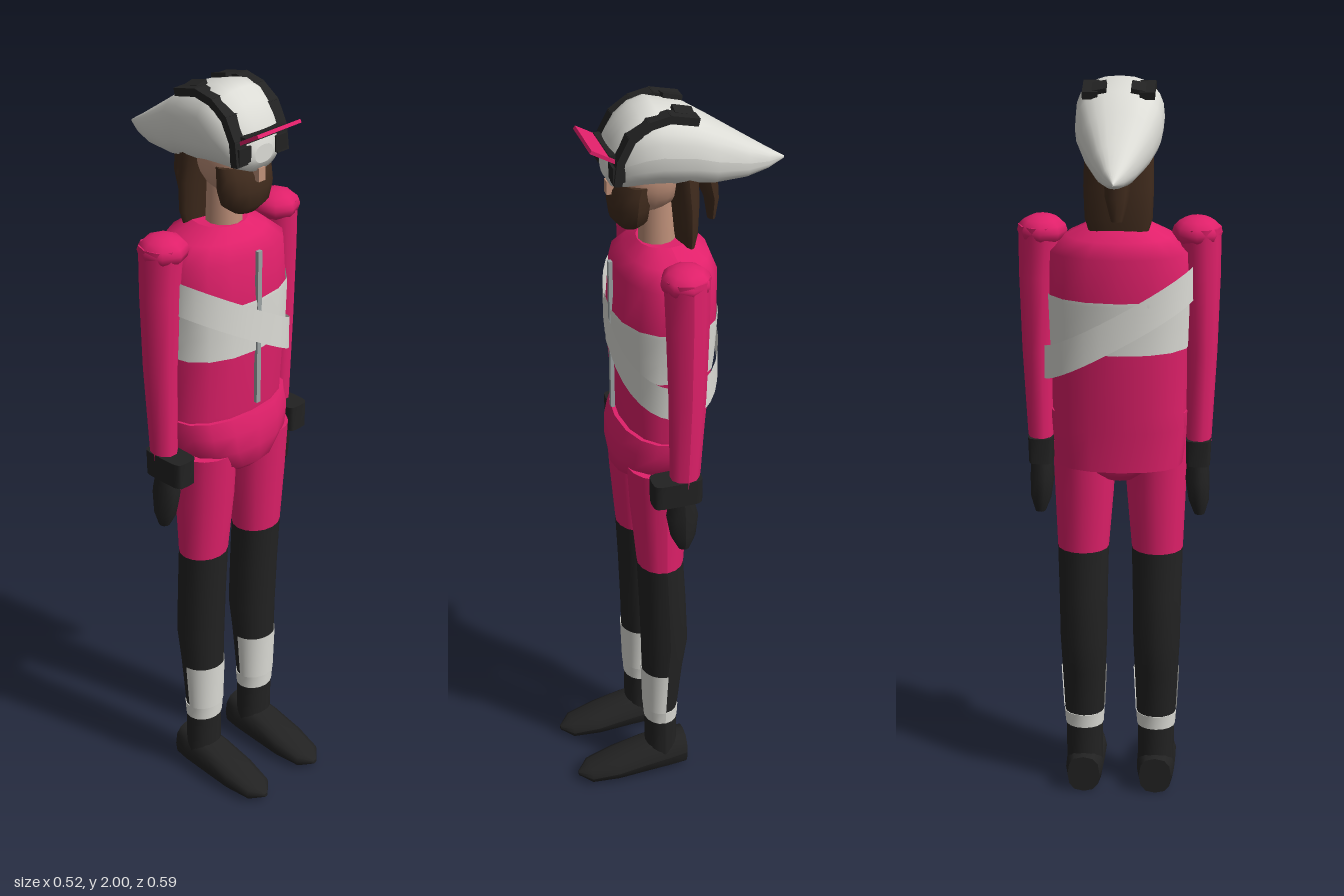
import * as THREE from 'three';

const mat = (name, color) => {
  const m = new THREE.MeshStandardMaterial({ color, side: THREE.DoubleSide });
  m.name = name;
  return m;
};

// Point of a superellipse section [t, low, high, halfWidth, centreX = 0]
function sectionPoint([t, lo, hi, w, cx = 0], a, p, axis, grow) {
  const c = Math.cos(a), s = Math.sin(a), e = 2 / p;
  const u = cx + (w + grow) * Math.sign(c) * Math.abs(c) ** e;
  const v = (lo + hi) / 2 + ((hi - lo) / 2 + grow) * Math.sign(s) * Math.abs(s) ** e;
  return axis === 'y' ? [u, t, v] : [u, v, t];
}

// Skin through sections; along y (rising t) or along z (falling t)
function loft(sections, { axis = 'y', n = 16, p = 2, from = 0, to = Math.PI * 2, grow = 0, caps = true } = {}) {
  const rows = sections.map((s) => [s, grow]);
  if (caps) {
    const end = (s) => [[s[0], (s[1] + s[2]) / 2, (s[1] + s[2]) / 2, 0, s[4]], 0];
    const a = rows[0], b = rows[rows.length - 1];
    rows.unshift(end(a[0]), a);
    rows.push(b, end(b[0]));
  }
  const pos = [], index = [];
  rows.forEach(([s, g], r) => {
    for (let i = 0; i <= n; i++) {
      pos.push(...sectionPoint(s, from + (to - from) * i / n, p, axis, g));
      const skip = caps && (r === 1 || r === rows.length - 3);
      if (r < rows.length - 1 && i < n && !(skip)) {
        const k = r * (n + 1) + i, up = k + n + 1;
        index.push(k, up, k + 1, k + 1, up, up + 1);
      }
    }
  });
  const g = new THREE.BufferGeometry();
  g.setAttribute('position', new THREE.Float32BufferAttribute(pos, 3));
  g.setIndex(index);
  g.computeVertexNormals();
  return g;
}

// Interpolated section at height y
function sectionAt(list, y) {
  const i = Math.max(1, list.findIndex((s) => s[0] >= y));
  const a = list[i - 1], b = list[i], k = (y - a[0]) / (b[0] - a[0]);
  return a.map((v, j) => v + (b[j] - v) * k);
}

export function createModel() {
  const group = new THREE.Group();
  const pink = mat('suit pink', 0xe0206a);
  const white = mat('off white', 0xdcdcd6);
  const black = mat('black', 0x222222);
  const brown = mat('hair brown', 0x402b1d);
  const skin = mat('skin', 0xc0917a);
  const grey = mat('zip grey', 0x9ca3a4);
  const add = (name, geometry, material, x = 0, y = 0, z = 0) => {
    const m = new THREE.Mesh(geometry, material);
    m.name = name;
    m.position.set(x, y, z);
    group.add(m);
    return m;
  };
  const box = (x, y, z) => new THREE.BoxGeometry(x, y, z);

  // Jacket and hips
  const torso = [
    [0.99, -0.072, 0.10, 0.165], [1.1, -0.08, 0.13, 0.18], [1.15, -0.085, 0.135, 0.178],
    [1.3, -0.1, 0.147, 0.18], [1.45, -0.11, 0.15, 0.186], [1.57, -0.11, 0.14, 0.184],
    [1.61, -0.095, 0.11, 0.135], [1.64, -0.05, 0.08, 0.07],
  ];
  add('jacket', loft(torso, { p: 2.2 }), pink);
  add('hips', loft([
    [0.94, 0, 0.07, 0.04], [0.97, -0.05, 0.125, 0.075], [1.0, -0.07, 0.158, 0.115],
    [1.05, -0.075, 0.163, 0.17], [1.1, -0.08, 0.16, 0.184], [1.14, -0.08, 0.145, 0.184],
  ], { p: 2.2 }), pink);

  // Chest band, diagonal sash and zip
  const band = [1.32, 1.38, 1.45, 1.46].map((y) => sectionAt(torso, y));
  add('chestBand', loft(band, { p: 2.2, grow: 0.004, caps: false }), white);
  const sash = loft([[-0.045, -0.1, 0.143, 0.187], [0.045, -0.1, 0.143, 0.187]],
    { n: 32, p: 2.2, grow: 0.013, caps: false });
  const sp = sash.attributes.position;
  for (let i = 0; i < sp.count; i++) sp.setY(i, 1.385 + sp.getY(i) - 0.57 * sp.getX(i));
  sash.computeVertexNormals();
  add('sash', sash, white);
  add('zip', box(0.014, 0.42, 0.01), grey, 0, 1.38, 0.15);

  for (const s of [-1, 1]) {
    const side = s > 0 ? 'left' : 'right';
    const place = (list) => list.map(([t, a, b, w, x]) => [t, a, b, w, s * x]);

    // Legs: bare profile shared by sock, cuff, legging and thigh
    const leg = [
      [0.07, 0.01, 0.1, 0.05], [0.19, 0.012, 0.1, 0.051], [0.23, 0.01, 0.102, 0.054],
      [0.365, -0.005, 0.106, 0.06], [0.46, -0.02, 0.108, 0.064], [0.6, -0.014, 0.112, 0.066],
      [0.73, -0.006, 0.117, 0.069], [0.9, -0.018, 0.132, 0.079], [1.04, -0.025, 0.14, 0.084],
    ].map((r) => [...r, s * (0.1 - 0.004 * (r[0] > 0.8))]);
    add(side + 'Sock', loft(leg.slice(0, 2)), black);
    add(side + 'AnkleBand', loft(leg.slice(1, 3), { grow: 0.002 }), white);
    add(side + 'Legging', loft(leg.slice(2, 7)), black);
    add(side + 'ShinPanel', loft(leg.slice(2, 4), { from: 0, to: Math.PI, grow: 0.003, caps: false }), white);
    add(side + 'Thigh', loft(leg.slice(6)), pink);

    // Pointed shoe
    add(side + 'Shoe', loft([
      [0.297, 0.018, 0.03, 0.006], [0.265, 0.004, 0.05, 0.042], [0.19, 0.002, 0.072, 0.054],
      [0.1, 0.002, 0.098, 0.054], [0.03, 0.002, 0.11, 0.052], [-0.012, 0.002, 0.11, 0.045],
    ], { axis: 'z', n: 12, p: 2.5 }), black, s * 0.1);

    // Sleeve, shoulder, cuff and glove
    add(side + 'Sleeve', loft(place([
      [1.04, -0.015, 0.06, 0.033, 0.207], [1.3, -0.03, 0.065, 0.041, 0.211],
      [1.5, -0.037, 0.07, 0.05, 0.207], [1.63, -0.04, 0.073, 0.057, 0.2],
    ]), { n: 10 }), pink);
    add(side + 'Shoulder', new THREE.SphereGeometry(1, 8, 8), pink, s * 0.196, 1.615, 0.018)
      .scale.set(0.064, 0.041, 0.064);
    add(side + 'Cuff', loft(place([
      [0.99, -0.02, 0.11, 0.032, 0.207], [1.06, -0.02, 0.11, 0.034, 0.207],
    ]), { p: 5 }), black);
    add(side + 'Glove', loft(place([
      [0.842, 0.01, 0.04, 0.014, 0.212], [0.88, -0.006, 0.06, 0.027, 0.21],
      [0.94, -0.014, 0.07, 0.032, 0.206], [1.0, 0, 0.06, 0.028, 0.206],
    ]), { n: 10 }), black);

    // Helmet strap: plates running over the crown and down the brow
    const path = [[-0.045, 1.968], [0.02, 1.983], [0.07, 1.973], [0.115, 1.943], [0.143, 1.89], [0.15, 1.835]];
    path.slice(1).forEach(([z, y], i) => {
      const [z0, y0] = path[i];
      const plate = add(side + 'HelmetStrap', box(0.038, 0.02, Math.hypot(z - z0, y - y0) + 0.008),
        black, s * 0.07, (y + y0) / 2, (z + z0) / 2);
      plate.rotation.x = -Math.atan2(y - y0, z - z0);
    });
    const vent = add(side + 'Vent', box(0.035, 0.012, 0.05), black, s * 0.048, 1.982, -0.02);
    vent.rotation.set(-0.25, 0, -s * 0.2);
    add(side + 'BrowPad', box(0.04, 0.04, 0.03), black, s * 0.062, 1.857, 0.146);
  }

  // Head, beard and hair
  add('neck', new THREE.CylinderGeometry(0.042, 0.048, 0.2, 12), skin, 0, 1.7, 0.03);
  add('head', new THREE.SphereGeometry(1, 16, 12), skin, 0, 1.82, 0.05).scale.set(0.08, 0.1, 0.09);
  add('nose', box(0.022, 0.035, 0.025), skin, 0, 1.792, 0.145);
  add('beard', loft([
    [1.685, 0.075, 0.125, 0.035], [1.71, 0.055, 0.147, 0.07], [1.75, 0.05, 0.152, 0.083],
    [1.785, 0.05, 0.145, 0.083], [1.81, 0.05, 0.13, 0.08],
  ]), brown);
  add('hair', loft([
    [1.61, -0.055, -0.015, 0.07], [1.66, -0.065, -0.005, 0.085],
    [1.74, -0.07, 0.005, 0.088], [1.83, -0.07, 0.02, 0.085],
  ]), brown);
  add('ponytail', loft([
    [1.67, -0.12, -0.1, 0.015], [1.73, -0.128, -0.09, 0.03], [1.8, -0.125, -0.06, 0.035],
  ], { n: 8 }), brown);

  // Teardrop helmet with tilted visor
  add('helmet', loft([
    [0.163, 1.825, 1.87, 0.03], [0.15, 1.802, 1.92, 0.068], [0.12, 1.8, 1.965, 0.092],
    [0.085, 1.8, 1.99, 0.105], [0.045, 1.798, 2.0, 0.111], [-0.04, 1.79, 1.977, 0.107],
    [-0.1, 1.778, 1.938, 0.088], [-0.19, 1.775, 1.877, 0.054], [-0.25, 1.785, 1.837, 0.027],
    [-0.296, 1.802, 1.808, 0.001],
  ], { axis: 'z', n: 24, p: 2.4 }), white);
  add('visor', box(0.146, 0.009, 0.095), pink, 0, 1.898, 0.17).rotation.x = -0.52;
  add('visorHinge', box(0.136, 0.016, 0.016), black, 0, 1.896, 0.158);

  return group;
}
